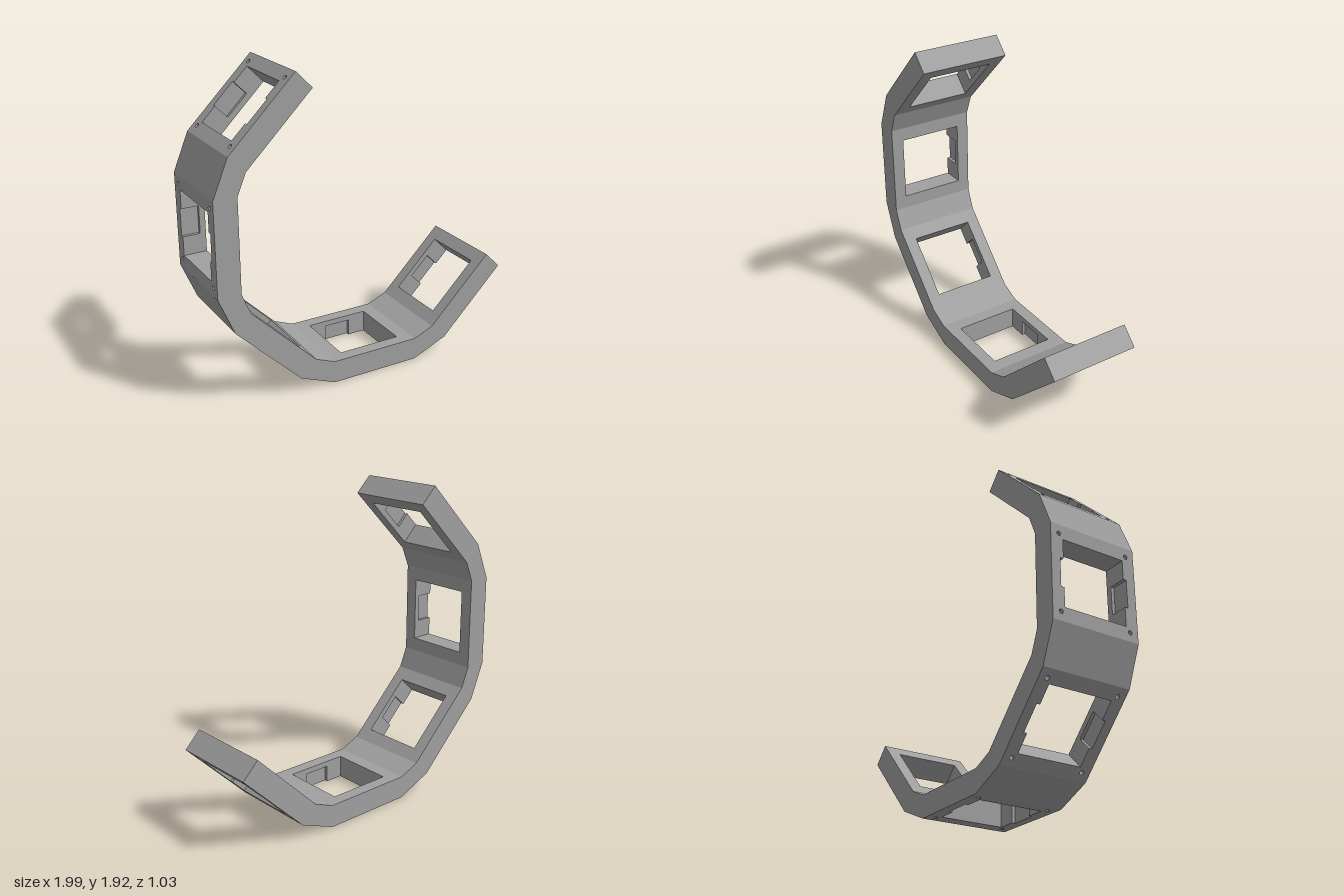
import * as THREE from 'three';

const OUTER = 1.005, INNER = 0.865; // distances of the panel faces from the ring centre
const HALF = 0.284, WIDTH = 0.555;  // half panel length, band width
const LIP = 0.035;                  // thickness of the inner window lip
const WINDOW = 0.2;                 // half window size

function outline(points) {
  return points.map(([x, y]) => new THREE.Vector2(x, y));
}

// Flat plate lying between two distances below the ring centre
function plate(holes, near, far, material) {
  const w = WIDTH / 2;
  const shape = new THREE.Shape(outline([[-HALF, -w], [HALF, -w], [HALF, w], [-HALF, w]]));
  shape.holes.push(...holes);
  const geo = new THREE.ExtrudeGeometry(shape, { depth: far - near, bevelEnabled: false, curveSegments: 8 });
  geo.translate(0, 0, near);
  geo.rotateX(Math.PI / 2);
  return new THREE.Mesh(geo, material);
}

function squareWindow() {
  const s = WINDOW;
  return new THREE.Path(outline([[-s, -s], [-s, s], [s, s], [s, -s]]));
}

// Window with a clip recess in the middle of both side walls
function recessedWindow() {
  const s = WINDOW, c = 0.085, d = s + 0.02;
  return new THREE.Path(outline([
    [-s, -s], [-s, s], [-c, s], [-c, d], [c, d], [c, s], [s, s],
    [s, -s], [c, -s], [c, -d], [-c, -d], [-c, -s],
  ]));
}

function screwHoles() {
  const holes = [];
  for (const x of [-0.23, 0.23]) {
    for (const y of [-0.225, 0.225]) {
      holes.push(new THREE.Path().absarc(x, y, 0.013, 0, Math.PI * 2, true));
    }
  }
  return holes;
}

function makePanel(material) {
  const panel = new THREE.Group();
  const lip = plate([squareWindow()], INNER, INNER + LIP, material);
  lip.name = 'windowLip';
  const body = plate([recessedWindow(), ...screwHoles()], INNER + LIP, OUTER, material);
  body.name = 'panelBody';
  panel.add(lip, body);
  return panel;
}

// Wedge that joins one panel to the next
function makeJoint(material) {
  const turn = (x, y) => new THREE.Vector2(x, y).rotateAround(new THREE.Vector2(), Math.PI / 4);
  const shape = new THREE.Shape([
    new THREE.Vector2(HALF, -INNER), new THREE.Vector2(HALF, -OUTER),
    turn(-HALF, -OUTER), turn(-HALF, -INNER),
  ]);
  const geo = new THREE.ExtrudeGeometry(shape, { depth: WIDTH, bevelEnabled: false });
  geo.translate(0, 0, -WIDTH / 2);
  return new THREE.Mesh(geo, material);
}

export function createModel() {
  const grey = new THREE.MeshStandardMaterial({ color: 0xa0a0a0 });
  grey.name = 'grey';

  const model = new THREE.Group();
  model.name = 'openRingFrame';
  const ring = new THREE.Group();
  ring.name = 'ring';
  ring.position.set(0.045, OUTER, 0);

  // Five panels of an octagon, from upper left round to lower right
  for (let k = -3; k <= 1; k++) {
    const panel = makePanel(grey);
    panel.name = 'panel' + (k + 4);
    panel.rotation.z = k * Math.PI / 4;
    ring.add(panel);
    if (k < 1) {
      const joint = makeJoint(grey);
      joint.name = 'joint' + (k + 4);
      joint.rotation.z = k * Math.PI / 4;
      ring.add(joint);
    }
  }

  // The whole band is turned a little about the vertical
  const turned = new THREE.Group();
  turned.name = 'turnedFrame';
  turned.rotation.y = Math.PI / 12;
  turned.add(ring);
  model.add(turned);
  return model;
}
